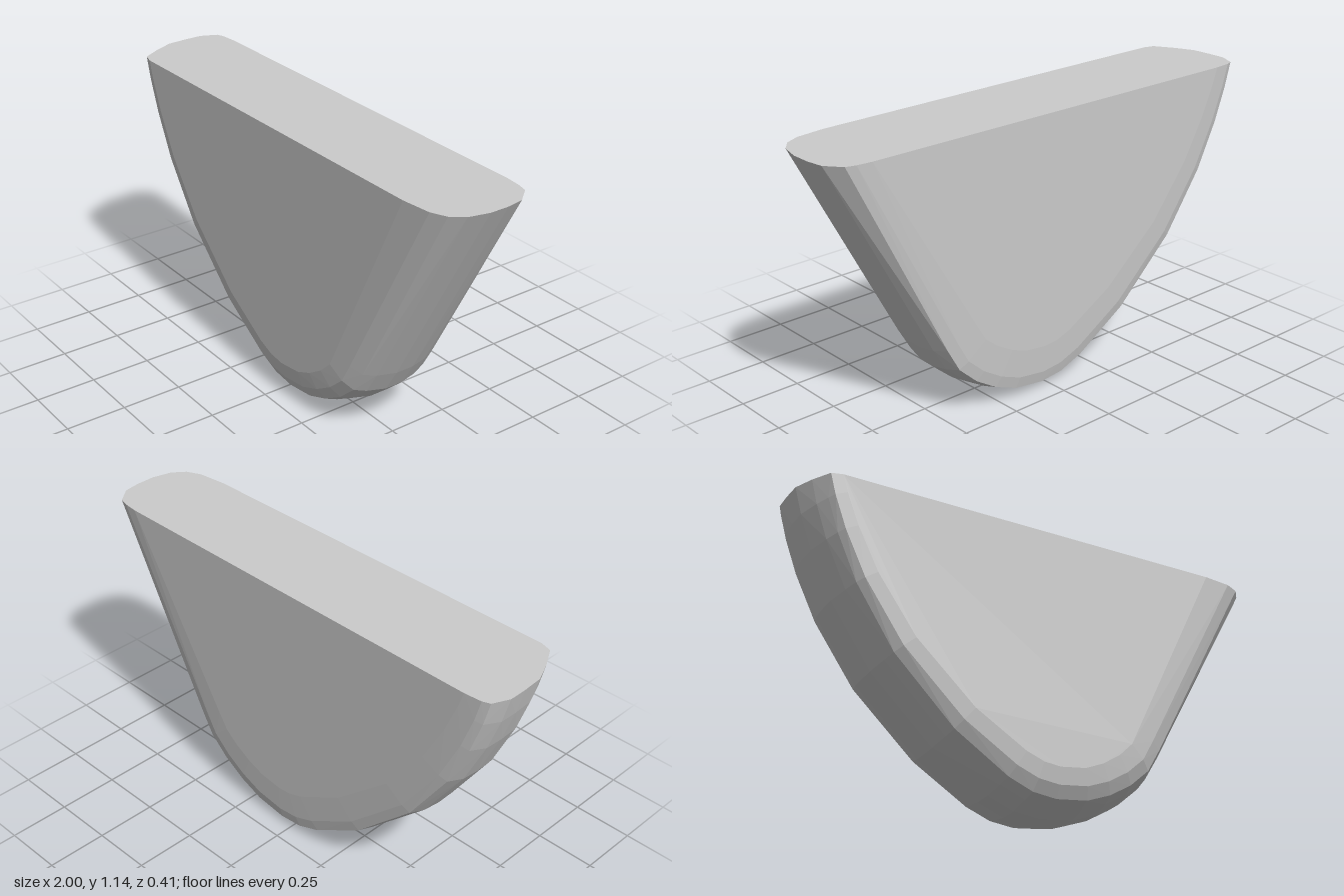
import * as THREE from 'three';
import { ConvexGeometry } from 'three/addons/geometries/ConvexGeometry.js';

const TOP = 1.14;

// Front outline, from the upper right end (-x) down and up to the upper left end (+x)
const outline = [
  [-1, TOP], [-0.97, 1.03], [-0.92, 0.89], [-0.83, 0.7], [-0.66, 0.45],
  [-0.4, 0.2], [-0.17, 0.055], [-0.06, 0.012], [0.05, 0], [0.19, 0.018],
  [0.3, 0.06], [0.4, 0.12], [0.49, 0.2], [0.55, 0.3], [1, TOP],
].map(([x, y]) => new THREE.Vector2(x, y));

// Slices through the depth: z, then the inset at the -x end, the bottom and the +x end
const slices = [
  [0.2, 0.13, 0.16, 0.24],
  [0.187, 0.085, 0.09, 0.12],
  [0.16, 0.07, 0.04, 0.06],
  [0.11, 0.04, 0.02, 0.02],
  [0.03, 0.005, 0, 0],
  [-0.05, 0, 0, 0],
  [-0.12, 0, 0.013, 0.01],
  [-0.183, 0.03, 0.03, 0.06],
  [-0.194, 0.06, 0.08, 0.1],
  [-0.2, 0.13, 0.2, 0.16],
];

// Outline point i moved inwards; the two ends slide along the flat top
function insetPoint(i, minusEnd, bottom, plusEnd) {
  const p = outline[i], last = outline.length - 1;
  if (i === 0) return new THREE.Vector2(p.x + minusEnd, TOP);
  if (i === last) return new THREE.Vector2(p.x - plusEnd, TOP);
  const along = outline[i + 1].clone().sub(outline[i - 1]).normalize();
  const inset = THREE.MathUtils.lerp(bottom, p.x < 0 ? minusEnd : plusEnd, p.y / TOP) * 0.95;
  return new THREE.Vector2(p.x - along.y * inset, p.y + along.x * inset);
}

export function createModel() {
  const points = [];
  for (const [z, ...insets] of slices) {
    outline.forEach((_, i) => {
      const { x, y } = insetPoint(i, ...insets);
      // The back face leans slightly outwards towards the top and the -x end
      const lean = z < 0 ? 0.95 + 0.0625 * y / TOP - 0.0375 * x : 1;
      points.push(new THREE.Vector3(x, y, z * lean));
    });
  }

  const body = new THREE.Mesh(
    new ConvexGeometry(points),
    new THREE.MeshStandardMaterial({ color: 0xcccccc, flatShading: true })
  );
  body.name = 'roundedWedgeBody';

  const model = new THREE.Group();
  model.name = 'roundedWedge';
  model.add(body);
  return model;
}
